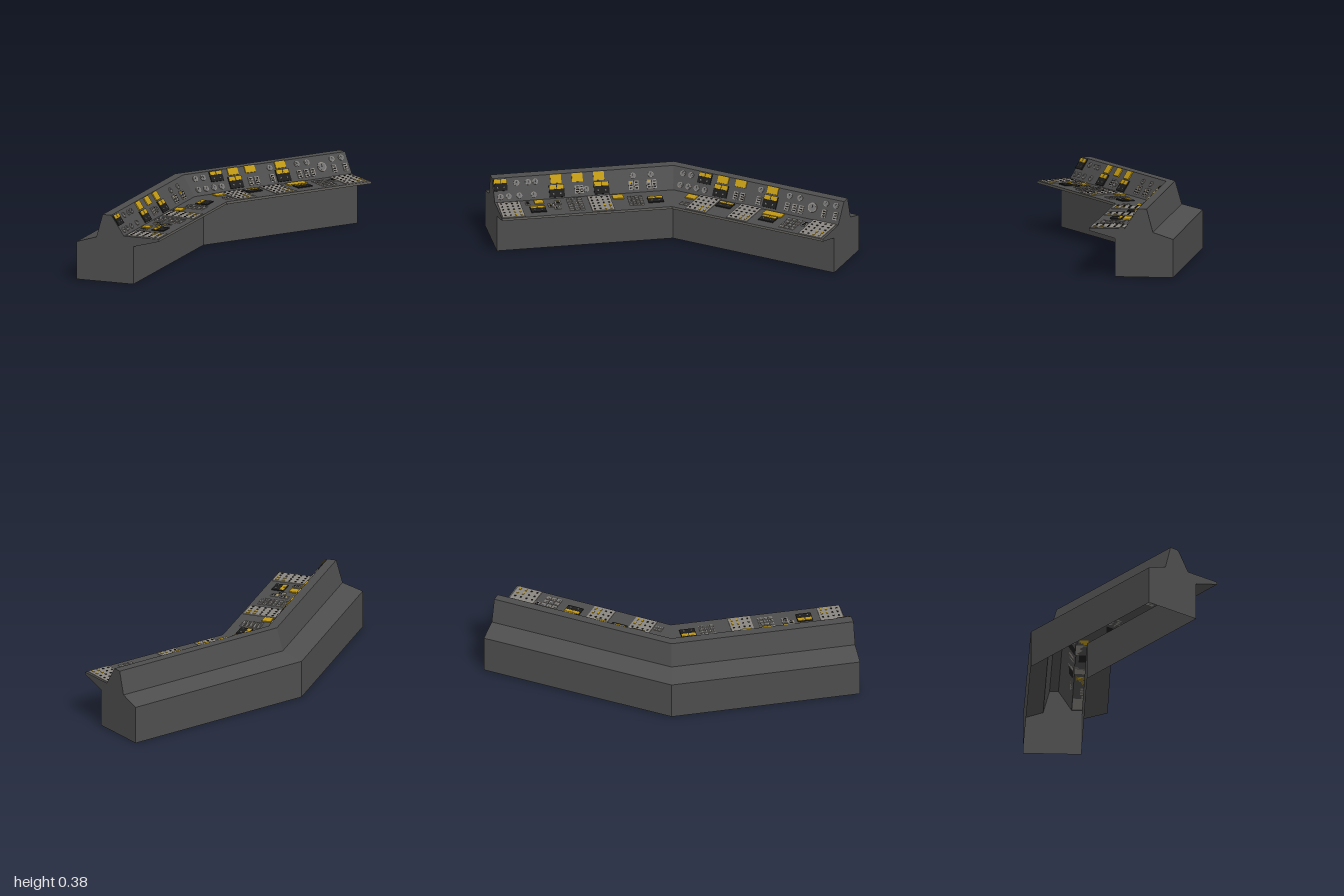
import * as THREE from 'three';

const mat = (name, color, side = THREE.FrontSide) => {
  const m = new THREE.MeshStandardMaterial({ color, side });
  m.name = name;
  return m;
};

export function createModel() {
  const root = new THREE.Group();
  root.name = 'controlConsole';
  const M = {
    body: mat('charcoal', 0x4d4d4d, THREE.DoubleSide),
    trim: mat('trimGrey', 0x62605b, THREE.DoubleSide),
    light: mat('panelGrey', 0x8a8680),
    black: mat('black', 0x1c1c1c),
    yellow: mat('amber', 0xc09814),
    dial: mat('dialGrey', 0x6e6e6e),
  };

  // Plan stations: back and front edge of the console at left end, bend, right end
  const stations = [
    { b: [-1, 0.11], f: [-0.71, 0.5] },
    { b: [-0.13, -0.5], f: [0.07, -0.04] },
    { b: [1, -0.488], f: [1, -0.02] },
  ];
  const at = (s, t, y) => new THREE.Vector3(
    THREE.MathUtils.lerp(stations[s].b[0], stations[s].f[0], t), y,
    THREE.MathUtils.lerp(stations[s].b[1], stations[s].f[1], t));

  // Section: depth fraction from back to front, height (open at the bottom)
  const profile = [
    [0, 0], [0, 0.213], [0.24, 0.25], [0.315, 0.38], [0.42, 0.38],
    [0.575, 0.268], [1, 0.268], [1, 0.254], [0.69, 0.213], [0.69, 0],
  ];
  const LIP = 6;

  const fromPoints = (pts) => {
    const g = new THREE.BufferGeometry().setFromPoints(pts);
    g.computeVertexNormals();
    return g;
  };
  const strip = (i) => {
    const pts = [];
    for (let s = 0; s < 2; s++) {
      const a = at(s, ...profile[i]), b = at(s, ...profile[i + 1]);
      const c = at(s + 1, ...profile[i + 1]), d = at(s + 1, ...profile[i]);
      pts.push(a, b, c, a, c, d);
    }
    return pts;
  };
  const addMesh = (parent, name, geo, material) => {
    const m = new THREE.Mesh(geo, material);
    m.name = name;
    parent.add(m);
    return m;
  };

  // Shell, front lip and end caps
  const shell = [];
  for (let i = 0; i < profile.length - 1; i++) if (i !== LIP) shell.push(...strip(i));
  addMesh(root, 'consoleShell', fromPoints(shell), M.body);
  addMesh(root, 'deskLip', fromPoints(strip(LIP)), M.trim);
  const outline = profile.map(([t, y]) => new THREE.Vector2(t, y));
  const tris = THREE.ShapeUtils.triangulateShape(outline, []);
  for (const [s, name] of [[0, 'rightEndCap'], [2, 'leftEndCap']]) {
    const pts = tris.flatMap((f) => (s ? f : [...f].reverse()).map((i) => at(s, ...profile[i])));
    addMesh(root, name, fromPoints(pts), M.body);
  }

  // Working plane on a surface: x along the wing, y up the surface, z outward
  const plane = (name, s, lower, upper) => {
    const o = at(s, ...lower);
    const x = at(s + 1, ...lower).sub(o).normalize();
    const y = at(s, ...upper).sub(o);
    y.addScaledVector(x, -y.dot(x)).normalize();
    const z = new THREE.Vector3().crossVectors(x, y);
    const g = new THREE.Group();
    g.name = name;
    g.applyMatrix4(new THREE.Matrix4().makeBasis(x, y, z).setPosition(o));
    root.add(g);
    return g;
  };

  // Detail helpers, all centred on (x, y) of a working plane
  const unitBox = new THREE.BoxGeometry(1, 1, 1);
  const disc = new THREE.CylinderGeometry(1, 1, 1, 16).rotateX(Math.PI / 2);
  const plate = (p, name, x, y, w, h, material, base = 0, t = 0.004) => {
    const m = addMesh(p, name, unitBox, material);
    m.scale.set(w, h, t);
    m.position.set(x, y, base + t / 2);
  };
  const round = (p, name, x, y, r, material, base, t) => {
    const m = addMesh(p, name, disc, material);
    m.scale.set(r, r, t);
    m.position.set(x, y, base + t / 2);
  };
  const gauge = (p, x, y, r = 0.016) => {
    round(p, 'gaugeRim', x, y, r, M.light, 0, 0.005);
    round(p, 'gaugeFace', x, y, r * 0.78, M.dial, 0.005, 0.001);
    plate(p, 'gaugeNeedle', x, y + r * 0.25, r * 0.15, r * 0.8, M.black, 0.006, 0.001);
  };
  const screen = (p, x, y, w = 0.065, h = 0.045) => plate(p, 'amberScreen', x, y, w, h, M.yellow, 0, 0.006);
  // Black unit with a pair of amber windows along its top
  const blackUnit = (p, x, y, w = 0.085, h = 0.07) => {
    plate(p, 'blackUnit', x, y, w, h, M.black, 0, 0.006);
    for (const k of [-1, 1]) {
      plate(p, 'amberWindow', x + k * w * 0.24, y + h * 0.3, w * 0.44, h * 0.34, M.yellow, 0.006, 0.002);
      plate(p, 'unitKey', x + k * w * 0.24, y - h * 0.22, w * 0.1, h * 0.12, M.dial, 0.006, 0.002);
    }
  };
  // Small grey module with three keys
  const moduleBox = (p, x, y, w = 0.028, h = 0.045, lamp = false) => {
    plate(p, 'switchModule', x, y, w, h, M.light);
    for (let i = -1; i <= 1; i++)
      plate(p, 'moduleKey', x, y + i * h * 0.3, w * 0.55, h * 0.14, lamp && i === 1 ? M.yellow : M.black, 0.004, 0.002);
  };
  const keypad = (p, x, y, cols, rows, w, h) => {
    for (let i = 0; i < cols; i++) for (let j = 0; j < rows; j++) {
      const kx = x + ((i + 0.5) / cols - 0.5) * w, ky = y + ((j + 0.5) / rows - 0.5) * h;
      plate(p, 'key', kx, ky, w / cols * 0.8, h / rows * 0.75, M.light);
      plate(p, 'keyTop', kx, ky, w / cols * 0.45, h / rows * 0.4, M.dial, 0.004, 0.001);
    }
  };
  // Large switchboard with rows of knobs and amber lamps
  const switchboard = (p, x, y, w = 0.125, h = 0.19) => {
    plate(p, 'switchboard', x, y, w, h, M.light);
    for (let i = 0; i < 4; i++) for (let j = 0; j < 5; j++) {
      const kx = x + (i - 1.5) * w * 0.24, ky = y + (j - 2) * h * 0.19;
      const lamp = j < 2 && i > 1;
      plate(p, lamp ? 'lamp' : 'knob', kx, ky, 0.009, lamp ? 0.018 : 0.009, lamp ? M.yellow : M.black, 0.004, 0.003);
    }
  };

  const HI = 0.102, LO = 0.041;

  // Sloped instrument panel, angled wing
  let p = plane('rightWingInstruments', 0, profile[5], profile[4]);
  blackUnit(p, 0.04, 0.096, 0.075, 0.066);
  for (const x of [0.13, 0.195, 0.235]) gauge(p, x, HI);
  for (const x of [0.035, 0.08, 0.14, 0.22]) gauge(p, x, 0.03);
  for (const x of [0.35, 0.47, 0.59]) screen(p, x, 0.108, 0.06, 0.05);
  for (const x of [0.35, 0.6]) blackUnit(p, x, LO);
  gauge(p, 0.515, 0.04);
  moduleBox(p, 0.465, LO);
  moduleBox(p, 0.49, LO, 0.018);
  for (const x of [0.78, 0.88]) {
    gauge(p, x, 0.095);
    moduleBox(p, x - 0.015, LO, 0.025, 0.05, true);
    moduleBox(p, x + 0.015, LO, 0.025, 0.05);
  }

  // Sloped instrument panel, straight wing
  p = plane('leftWingInstruments', 1, profile[5], profile[4]);
  for (const x of [0.035, 0.085]) gauge(p, x, 0.1);
  for (const x of [0.035, 0.085, 0.135, 0.185]) gauge(p, x, 0.035);
  blackUnit(p, 0.17, 0.098, 0.08, 0.06);
  for (const x of [0.28, 0.39, 0.585]) screen(p, x, 0.112, 0.065, 0.042);
  for (const x of [0.28, 0.585]) blackUnit(p, x, 0.048);
  for (const x of [0.375, 0.415, 0.515, 0.69, 0.735, 0.775]) moduleBox(p, x, LO);
  for (const x of [0.515, 0.69, 0.755, 0.915, 0.975]) gauge(p, x, HI);
  gauge(p, 0.84, 0.065, 0.027);
  for (const x of [0.915, 0.985]) moduleBox(p, x, 0.045, 0.026, 0.045);

  // Desk top, angled wing
  p = plane('rightWingDesk', 0, profile[6], profile[5]);
  switchboard(p, 0.068, 0.102);
  screen(p, 0.233, 0.172, 0.05, 0.045);
  moduleBox(p, 0.17, 0.165, 0.025, 0.04);
  blackUnit(p, 0.215, 0.082);
  for (const [x, y] of [[0.335, 0.15], [0.325, 0.09], [0.295, 0.12]]) moduleBox(p, x, y, 0.035, 0.045, true);
  keypad(p, 0.43, 0.115, 3, 6, 0.09, 0.16);
  switchboard(p, 0.57, 0.104);
  screen(p, 0.674, 0.166, 0.06, 0.05);
  keypad(p, 0.764, 0.105, 4, 5, 0.085, 0.12);
  blackUnit(p, 0.873, 0.1);

  // Desk top, straight wing
  p = plane('leftWingDesk', 1, profile[6], profile[5]);
  screen(p, 0.045, 0.155, 0.06, 0.05);
  keypad(p, 0.045, 0.065, 2, 2, 0.05, 0.045);
  switchboard(p, 0.14, 0.105);
  blackUnit(p, 0.255, 0.145, 0.09, 0.065);
  switchboard(p, 0.392, 0.105);
  screen(p, 0.545, 0.16, 0.115, 0.05);
  blackUnit(p, 0.545, 0.095, 0.09, 0.065);
  keypad(p, 0.685, 0.095, 3, 4, 0.095, 0.135);
  moduleBox(p, 0.757, 0.125, 0.032, 0.05);
  switchboard(p, 0.845, 0.1, 0.14);

  return root;
}
